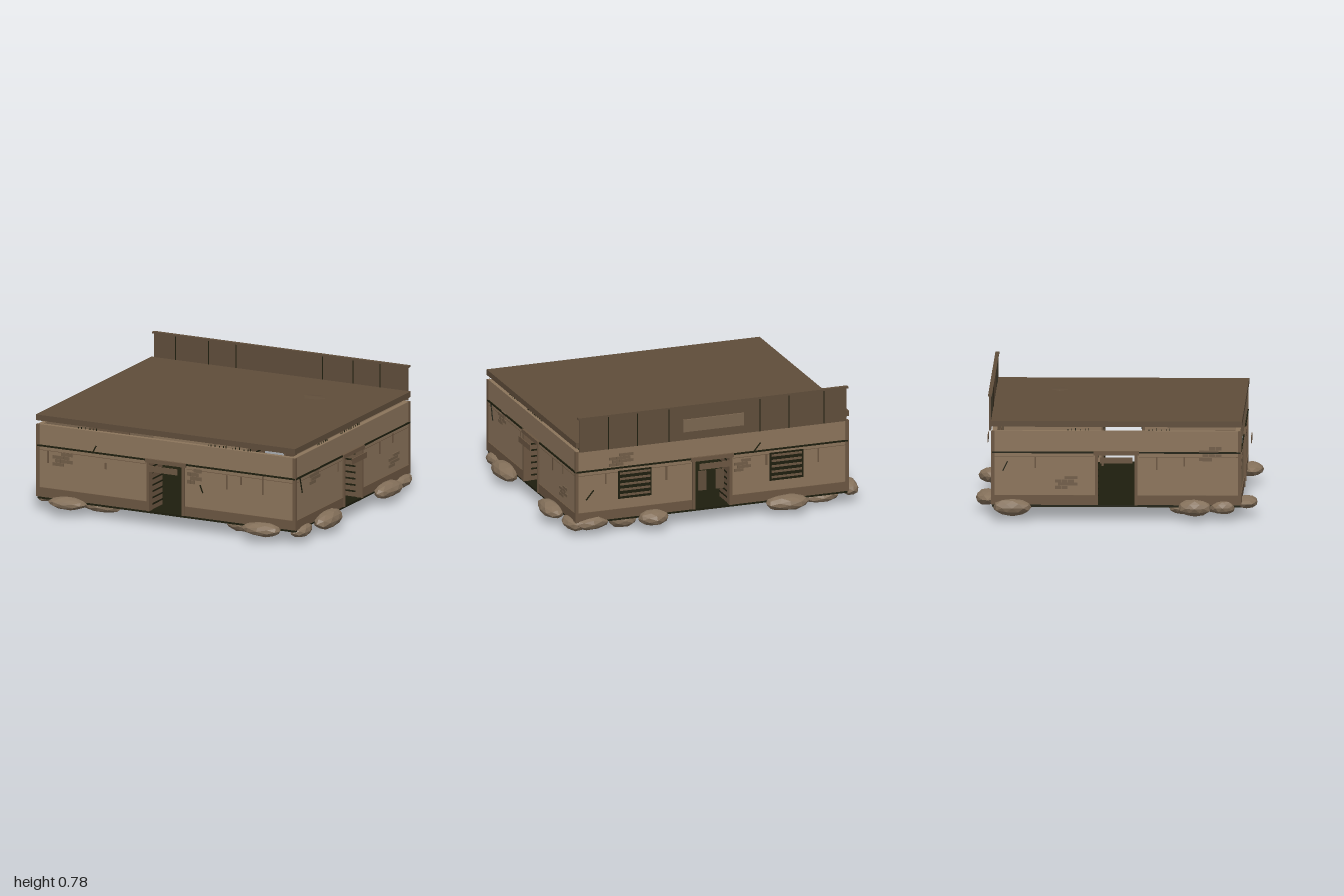
import * as THREE from 'three';

const mat = (name, color) => Object.assign(new THREE.MeshStandardMaterial({ color }), { name });
const M = {
  wall: mat('sandyWall', 0x8b745b),
  skirt: mat('brownTrim', 0x6b5641),
  roof: mat('darkWood', 0x5f4d3a),
  dark: mat('blackOlive', 0x1e1e0e),
  patch: mat('exposedBrick', 0x715d48),
  rock: mat('rock', 0x84705a),
  sign: mat('paleBoard', 0x7b6650),
};

const HX = 0.895, HZ = 0.765, FLOOR = 0.09, TOP = 0.55;

function add(parent, name, geo, material) {
  const m = new THREE.Mesh(geo, material);
  m.name = name;
  parent.add(m);
  return m;
}

// Box given by its extents
function box(parent, name, material, x0, x1, y0, y1, z0, z1) {
  const m = add(parent, name, new THREE.BoxGeometry(x1 - x0, y1 - y0, z1 - z0), material);
  m.position.set((x0 + x1) / 2, (y0 + y1) / 2, (z0 + z1) / 2);
  return m;
}

// Thin stroke between two points on a wall
function crack(parent, [x0, y0, x1, y1]) {
  const len = Math.hypot(x1 - x0, y1 - y0);
  const m = add(parent, 'crack', new THREE.BoxGeometry(0.007, len, 0.006), M.dark);
  m.position.set((x0 + x1) / 2, (y0 + y1) / 2, 0.002);
  m.rotation.z = -Math.atan2(x1 - x0, y1 - y0);
}

// Patch of staggered bricks where plaster has fallen away
function brickPatch(parent, [u, y, w, h]) {
  const g = new THREE.Group();
  g.name = 'brickPatch';
  const rows = 4, cols = 3, rh = h / rows, cw = w / cols;
  for (let r = 0; r < rows; r++) {
    for (let c = 0; c < cols; c++) {
      if ((r === 0 && c === 2) || (r === 3 && c === 0)) continue;
      const x = u - w / 2 + c * cw + (r % 2 ? 0.012 : -0.008), b = y - h / 2 + r * rh;
      box(g, 'brick', M.patch, x, x + cw - 0.002, b, b + rh - 0.002, -0.002, 0.006);
    }
  }
  parent.add(g);
}

// One wall, built facing +z with its outer face on z = 0
function buildWall(name, half, d) {
  const g = new THREE.Group();
  g.name = name;
  const s = new THREE.Shape();
  [[-half, FLOOR], [-0.115, FLOOR], [-0.115, 0.4], [0.115, 0.4], [0.115, FLOOR], [half, FLOOR], [half, TOP], [-half, TOP]]
    .forEach(([x, y], i) => (i ? s.lineTo(x, y) : s.moveTo(x, y)));
  const panel = add(g, 'wallPanel', new THREE.ExtrudeGeometry(s, { depth: 0.03, bevelEnabled: false }), M.wall);
  panel.position.z = -0.03;

  for (const k of [-1, 1]) {
    const span = (a, b) => (k > 0 ? [a, b] : [-b, -a]);
    box(g, 'skirting', M.skirt, ...span(0.13, half), FLOOR, 0.15, -0.01, 0.006);
    box(g, 'darkStripe', M.dark, ...span(0.14, half), 0.411, 0.421, -0.01, 0.007);
    box(g, 'seam', M.skirt, ...span(0.14, half), 0.387, 0.39, -0.01, 0.002);
    box(g, 'doorJamb', M.skirt, ...span(0.113, 0.13), FLOOR, 0.4, -0.035, 0.012);
    // slatted entry reveals
    box(g, 'entryWall', M.skirt, ...span(0.118, 0.13), FLOOR, 0.4, -0.18, -0.03);
    for (let i = 0; i < 7; i++) {
      const y = 0.12 + i * 0.04;
      box(g, 'entrySlatGap', M.dark, ...span(0.115, 0.12), y, y + 0.01, -0.18, -0.036);
    }
  }
  box(g, 'doorLintel', M.skirt, -0.14, 0.14, 0.4, 0.425, -0.035, 0.016);
  box(g, 'hangingBoard', M.skirt, -0.1, 0.1, 0.355, 0.393, 0.045, 0.05);

  d.patches.forEach((p) => brickPatch(g, p));
  d.cracks.forEach((c) => crack(g, c));
  for (const [u, y0, y1] of d.drips) box(g, 'drip', M.skirt, u - 0.005, u + 0.005, y0, y1, -0.002, 0.004);
  // splinters along the wall top
  for (const u of d.splinters) {
    for (let i = 0; i < 6; i++) {
      const x = u + i * 0.025 + 0.006 * Math.sin(i * 5);
      box(g, 'splinter', M.dark, x, x + 0.004, TOP - 0.005, TOP + 0.008 + 0.004 * (i % 3), -0.02, -0.016);
    }
  }
  return g;
}

// Faceted boulder, roughened by a fixed rule
function boulder(parent, name, material, [x, y, z, rx, ry, rz], seed) {
  const geo = new THREE.IcosahedronGeometry(1, 1);
  const p = geo.attributes.position;
  for (let i = 0; i < p.count; i++) {
    const a = p.getX(i), b = p.getY(i), c = p.getZ(i);
    const k = 0.95 + 0.08 * Math.sin(a * 4.1 + seed) * Math.cos(c * 3.3 + seed * 2 + b);
    p.setXYZ(i, a * k * rx, b * k * ry, c * k * rz);
  }
  geo.computeVertexNormals();
  add(parent, name, geo, material).position.set(x, y, z);
}

export function createModel() {
  const model = new THREE.Group();
  model.name = 'building';

  // Floor slab
  box(model, 'floorSlab', M.dark, -HX, HX, 0.076, FLOOR, -HZ, HZ);

  // Four walls
  const front = buildWall('frontWall', HX, {
    patches: [[-0.72, 0.345, 0.12, 0.09], [0.195, 0.35, 0.08, 0.1]],
    cracks: [[-0.51, 0.415, -0.485, 0.46], [0.235, 0.3, 0.255, 0.25]],
    drips: [[-0.82, 0.31, 0.39], [-0.42, 0.32, 0.36], [0.42, 0.295, 0.385], [0.52, 0.335, 0.385], [0.67, 0.29, 0.41]],
    splinters: [-0.62, 0.28, 0.45],
  });
  front.position.z = HZ;
  const back = buildWall('backWall', HX, {
    patches: [[-0.6, 0.47, 0.14, 0.08], [0.2, 0.34, 0.09, 0.08]],
    cracks: [[-0.83, 0.23, -0.78, 0.29], [0.27, 0.41, 0.32, 0.47]],
    drips: [[-0.7, 0.32, 0.39], [-0.3, 0.3, 0.39], [0.36, 0.32, 0.39], [0.7, 0.3, 0.39]],
    splinters: [-0.4, 0.3],
  });
  back.position.z = -HZ;
  back.rotation.y = Math.PI;
  const right = buildWall('leftSideWall', HZ, {
    patches: [[-0.51, 0.38, 0.12, 0.09], [0.55, 0.23, 0.12, 0.08]],
    cracks: [[-0.705, 0.41, -0.675, 0.31]],
    drips: [[-0.195, 0.33, 0.39], [0.365, 0.31, 0.39], [0.54, 0.34, 0.4]],
    splinters: [-0.43, -0.12, 0.0],
  });
  right.position.x = HX;
  right.rotation.y = Math.PI / 2;
  const left = buildWall('rightSideWall', HZ, {
    patches: [[0.58, 0.41, 0.12, 0.09], [-0.31, 0.23, 0.12, 0.08]],
    cracks: [[-0.7, 0.3, -0.67, 0.36]],
    drips: [[-0.5, 0.32, 0.39], [0.25, 0.31, 0.39], [0.42, 0.33, 0.39]],
    splinters: [-0.3, 0.2],
  });
  left.position.x = -HX;
  left.rotation.y = -Math.PI / 2;
  model.add(front, back, right, left);

  // Corner posts
  for (const sx of [-1, 1]) {
    for (const sz of [-1, 1]) {
      const post = add(model, 'cornerPost', new THREE.BoxGeometry(0.02, TOP - FLOOR, 0.02), M.skirt);
      post.position.set(sx * (HX - 0.004), (TOP + FLOOR) / 2, sz * (HZ - 0.004));
    }
  }

  // Barred windows on the back wall
  for (const u of [-0.51, 0.49]) {
    box(back, 'windowOpening', M.dark, u - 0.11, u + 0.11, 0.215, 0.395, -0.002, 0.007);
    for (let i = 0; i < 5; i++) {
      const y = 0.232 + i * 0.035;
      box(back, 'windowSlat', M.skirt, u - 0.1, u + 0.1, y, y + 0.013, 0.005, 0.013);
    }
  }
  // Swing panels in the back doorway
  for (const u of [-0.057, 0.057]) box(back, 'doorPanel', M.roof, u - 0.026, u + 0.026, 0.2, 0.325, -0.02, -0.012);

  // Floating roof slab with a boulder through it
  box(model, 'roofSlab', M.roof, -0.9, 0.9, 0.576, 0.612, -0.775, 0.775);
  boulder(model, 'roofBoulder', M.roof, [0.44, 0.56, -0.38, 0.14, 0.066, 0.13], 1);

  // Tall back parapet with cap, battens and blank board
  box(model, 'parapet', M.roof, -0.88, 0.88, TOP, 0.765, -0.785, -0.772);
  box(model, 'parapetCap', M.roof, -0.89, 0.89, 0.762, 0.774, -0.79, -0.766);
  for (const x of [-0.73, -0.5, -0.31, 0.29, 0.5, 0.69]) {
    box(model, 'parapetSeam', M.dark, x - 0.003, x + 0.003, TOP, 0.762, -0.787, -0.77);
  }
  box(model, 'blankBoard', M.sign, -0.2, 0.2, 0.605, 0.685, -0.796, -0.787);

  // Rocks around the footing: x, y, z, half sizes
  const rocks = [
    [-0.48, 0.075, -0.8, 0.15, 0.05, 0.08], [0.4, 0.08, -0.8, 0.1, 0.05, 0.08], [0.79, 0.075, -0.73, 0.13, 0.05, 0.08],
    [-0.94, 0.08, -0.64, 0.065, 0.055, 0.13], [-0.94, 0.08, 0.485, 0.065, 0.055, 0.11], [-0.89, 0.075, 0.655, 0.05, 0.045, 0.08],
    [0.93, 0.08, -0.41, 0.07, 0.05, 0.16], [0.93, 0.078, 0.385, 0.07, 0.058, 0.165], [0.88, 0.065, 0.65, 0.06, 0.045, 0.11],
    [0.86, 0.065, -0.67, 0.09, 0.05, 0.12], [-0.67, 0.08, 0.8, 0.14, 0.04, 0.075], [0.68, 0.08, 0.8, 0.14, 0.045, 0.075],
    [-0.5, 0.055, 0.65, 0.14, 0.048, 0.08], [0.49, 0.058, 0.66, 0.13, 0.05, 0.08], [-0.74, 0.06, 0.62, 0.12, 0.04, 0.09],
    [0.56, 0.055, -0.68, 0.1, 0.058, 0.07], [-0.49, 0.06, -0.66, 0.1, 0.04, 0.07], [-0.74, 0.055, -0.68, 0.13, 0.045, 0.09],
    [0.78, 0.06, -0.22, 0.08, 0.035, 0.1], [-0.8, 0.06, 0.4, 0.08, 0.04, 0.08],
  ];
  const footing = new THREE.Group();
  footing.name = 'footingRocks';
  rocks.forEach((r, i) => boulder(footing, 'rock', M.rock, r, i * 1.7));
  model.add(footing);

  return model;
}
